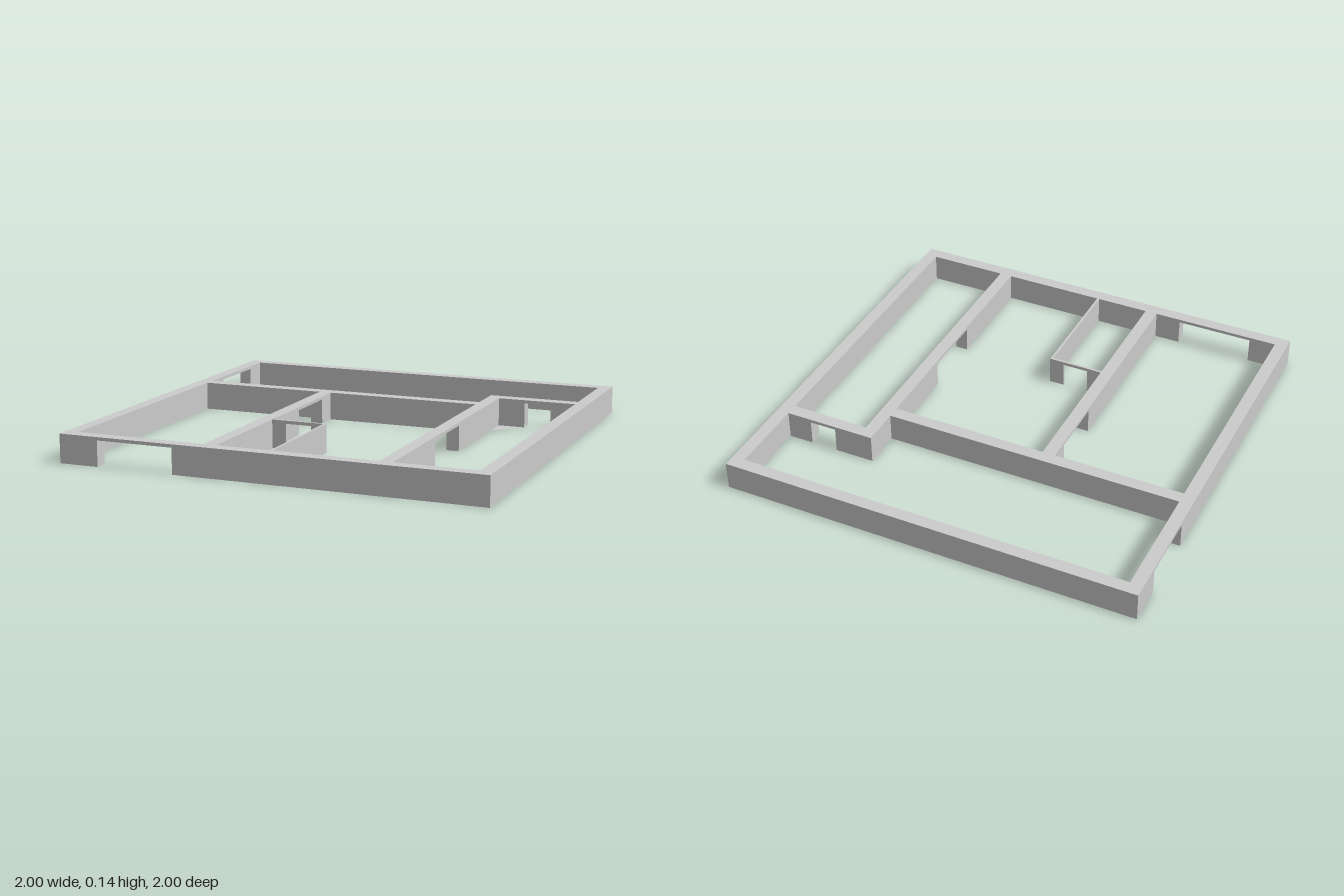
import * as THREE from 'three';

const H = 0.135;      // wall height
const DOOR = 0.12;    // doorway height, leaving a thin lintel
const T = 0.06;       // thickness of main walls
const THIN = 0.012;   // thickness of light partition

const material = new THREE.MeshStandardMaterial({ color: 0xcccccc, flatShading: true });

// Wall elevation from a to b, with an optional doorway [start, end], extruded to its thickness
function wallGeometry(a, b, thickness, door) {
  const points = [[a, 0]];
  if (door) {
    const [s, e] = door;
    points.push([s, 0], [s, DOOR], [e, DOOR], [e, 0]);
  }
  points.push([b, 0], [b, H], [a, H]);
  const shape = new THREE.Shape(points.map(([u, v]) => new THREE.Vector2(u, v)));
  return new THREE.ExtrudeGeometry(shape, { depth: thickness, bevelEnabled: false });
}

export function createModel() {
  const group = new THREE.Group();

  const add = (name, geometry) => {
    const mesh = new THREE.Mesh(geometry, material);
    mesh.name = name;
    group.add(mesh);
    return mesh;
  };

  // Wall running along x, occupying z .. z + thickness
  const wallX = (name, x0, x1, z, door, thickness = T) =>
    add(name, wallGeometry(x0, x1, thickness, door).translate(0, 0, z));

  // Wall running along z, occupying x .. x + thickness
  const wallZ = (name, z0, z1, x, door, thickness = T) =>
    add(name, wallGeometry(z0, z1, thickness, door)
      .rotateY(-Math.PI / 2).translate(x + thickness, 0, 0));

  // Outer walls
  wallX('backWall', -1, 1, -1);
  wallX('frontWall', -1, 1, 0.935, [-0.81, -0.44]);
  wallZ('rightOuterWall', -0.94, 0.935, -1, [-0.82, -0.5]);
  wallZ('leftOuterWall', -0.94, 0.935, 0.94);

  // Interior walls
  wallX('crossWall', -0.94, 0.5, -0.375);
  wallZ('roomDivider', -0.315, 0.935, -0.315, [-0.21, 0.07]);
  wallZ('corridorWall', -0.5, 0.935, 0.5, [0.1, 0.42]);
  wallX('corridorEndWall', 0.5, 0.94, -0.56, [0.69, 0.82]);

  // Light partition around the small room
  wallX('smallRoomFront', -0.255, 0.012, 0.355, [-0.185, -0.06], THIN);
  wallZ('smallRoomSide', 0.367, 0.935, 0, null, THIN);

  // Flat triangular floor piece in the corridor corner
  const corner = new THREE.Shape([
    new THREE.Vector2(0.56, -0.5),
    new THREE.Vector2(0.69, -0.5),
    new THREE.Vector2(0.56, -0.38),
  ]);
  const floor = add('cornerFloor', new THREE.ShapeGeometry(corner).rotateX(Math.PI / 2));
  floor.material = material.clone();
  floor.material.side = THREE.DoubleSide;

  return group;
}
